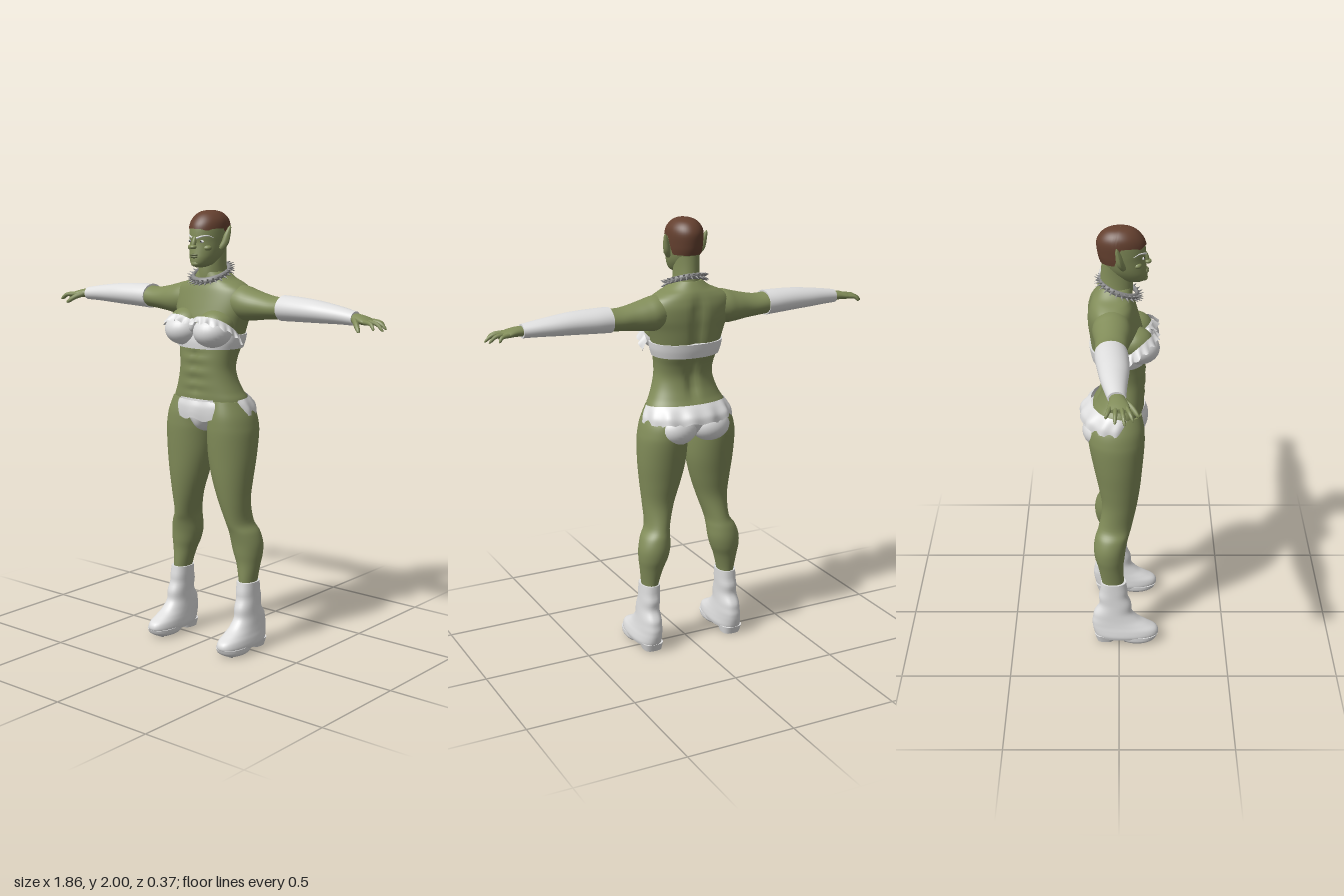
import * as THREE from 'three';
import { mergeGeometries } from 'three/addons/utils/BufferGeometryUtils.js';

const V = (x, y, z) => new THREE.Vector3(x, y, z);
const smooth = THREE.MathUtils.smoothstep;
const mat = (name, color, side = THREE.FrontSide) => {
  const m = new THREE.MeshStandardMaterial({ color, side });
  m.name = name;
  return m;
};

// Surface grid from a rule fn(u, v); closed wraps around in v.
function grid(nu, nv, fn, closed) {
  const pos = [], idx = [], cols = closed ? nv : nv + 1;
  for (let i = 0; i <= nu; i++) for (let j = 0; j < cols; j++) pos.push(...fn(i / nu, j / nv));
  for (let i = 0; i < nu; i++) for (let j = 0; j < nv; j++) {
    const a = i * cols + j, b = i * cols + (j + 1) % cols;
    idx.push(a, a + cols, b, b, a + cols, b + cols);
  }
  const g = new THREE.BufferGeometry();
  g.setAttribute('position', new THREE.Float32BufferAttribute(pos, 3));
  g.setIndex(idx);
  g.computeVertexNormals();
  return g;
}

// Smooth surface through cross-sections [y, xMin, xMax, zMin, zMax].
const surface = (rows, e = 1) => (t, a) => {
  const i = Math.min(Math.floor(t), rows.length - 2), f = t - i;
  const r = k => rows[Math.max(0, Math.min(rows.length - 1, k))];
  const [y, x0, x1, z0, z1] = rows[0].map((_, k) => {
    const [p, q, s, w] = [r(i - 1)[k], r(i)[k], r(i + 1)[k], r(i + 2)[k]];
    return q + 0.5 * f * (s - p + f * (2 * p - 5 * q + 4 * s - w + f * (3 * (q - s) + w - p)));
  });
  const c = Math.cos(a), s = Math.sin(a);
  return [(x0 + x1) / 2 + (x1 - x0) / 2 * Math.sign(c) * Math.abs(c) ** e, y,
    (z0 + z1) / 2 + (z1 - z0) / 2 * Math.sign(s) * Math.abs(s) ** e];
};

// Loft along y, or along x when sideways (rows are then [x, zMin, zMax, yMin, yMax]).
function loft(rows, { seg = 36, sub = 5, e = 1, warp = p => p, sideways = false, caps = true } = {}) {
  const s = surface(rows, e), n = rows.length - 1;
  const f = (u, v) => {
    const p = warp(s(u * n, v * Math.PI * 2), u, v * Math.PI * 2);
    return sideways ? [p[1], p[2], p[0]] : p;
  };
  const mid = u => f(u, 0).map((q, k) => (q + f(u, 0.5)[k]) / 2);
  const parts = [grid(n * sub, seg, f, true)];
  if (caps) parts.push(grid(1, seg, (u, v) => u ? f(0, v) : mid(0), true), grid(1, seg, (u, v) => u ? mid(1) : f(1, v), true));
  return mergeGeometries(parts);
}

const ball = (x, y, z, sx, sy, sz) => new THREE.SphereGeometry(1, 28, 20).scale(sx, sy, sz).translate(x, y, z);

// Tube whose radius follows size(u).
function taper(points, radius, size) {
  const curve = new THREE.CatmullRomCurve3(points), n = 14, rad = 10;
  const g = new THREE.TubeGeometry(curve, n, radius, rad), p = g.attributes.position;
  for (let i = 0; i < p.count; i++) {
    const u = Math.floor(i / (rad + 1)) / n;
    const v = V().fromBufferAttribute(p, i).lerp(curve.getPointAt(u), 1 - size(u));
    p.setXYZ(i, v.x, v.y, v.z);
  }
  g.computeVertexNormals();
  return g;
}

function mirror(g) {
  const m = g.clone().scale(-1, 1, 1), a = m.index.array;
  for (let i = 0; i < a.length; i += 3) [a[i], a[i + 1]] = [a[i + 1], a[i]];
  m.computeVertexNormals();
  return m;
}

export function createModel() {
  const root = new THREE.Group();
  const skin = mat('green skin', 0x818c59), white = mat('white cloth', 0xdedede);
  const frill = mat('white frill', 0xdedede, THREE.DoubleSide), hairMat = mat('brown hair', 0x64402f);
  const steel = mat('grey steel', 0x8c8c8c), dark = mat('dark pupil', 0x2b2a24), lip = mat('lip', 0x68704a);
  const add = (name, geo, m) => {
    const mesh = new THREE.Mesh(geo, m);
    mesh.name = name;
    root.add(mesh);
  };
  const pair = (name, geo, m) => { add('left ' + name, geo, m); add('right ' + name, mirror(geo), m); };
  const sym = (y, x, z0, z1) => [y, -x, x, z0, z1];

  // Torso with spine groove and abdominal relief
  const bell = (x, w) => Math.exp(-((x / w) ** 2));
  add('torso', loft([
    sym(1.1, .19, -.13, .105), sym(1.16, .188, -.12, .112), sym(1.2, .168, -.1, .115), sym(1.25, .148, -.082, .118),
    sym(1.3, .137, -.076, .12), sym(1.35, .14, -.088, .12), sym(1.4, .15, -.11, .116), sym(1.46, .163, -.124, .11),
    sym(1.52, .18, -.132, .105), sym(1.57, .197, -.138, .092), sym(1.62, .2, -.138, .078), sym(1.655, .185, -.13, .068),
    sym(1.68, .145, -.12, .06), sym(1.7, .1, -.108, .058), sym(1.73, .062, -.088, .056)], {
    seg: 64, e: .9, warp: ([x, y, z]) => {
      if (z < 0) z += .018 * bell(x, .025) * smooth(y, 1.16, 1.25) * (1 - smooth(y, 1.6, 1.7));
      else {
        const w = smooth(y, 1.17, 1.22) * (1 - smooth(y, 1.36, 1.4));
        z -= w * (.006 * bell(x, .012) + .003 * bell(x, .06) * (1 + Math.cos(y * 105)));
      }
      return [x, y, z];
    } }), skin);
  add('neck', loft([sym(1.67, .075, -.1, .055), sym(1.72, .06, -.086, .06), sym(1.78, .055, -.08, .055),
    sym(1.84, .055, -.075, .03)]), skin);
  pair('upper breast', ball(.085, 1.5, .065, .082, .068, .085), skin);

  // Head and cropped hair
  const headRows = [sym(1.752, .018, .04, .1), sym(1.765, .042, -.01, .119), sym(1.79, .058, -.04, .122), sym(1.82, .068, -.065, .118),
    sym(1.86, .0735, -.083, .113), sym(1.89, .0755, -.09, .115), sym(1.93, .076, -.094, .11), sym(1.958, .069, -.083, .094),
    sym(1.98, .05, -.06, .07), sym(1.991, .027, -.028, .042), sym(1.994, .001, .006, .008)];
  add('head', loft(headRows), skin);
  const head = surface(headRows);
  add('hair', grid(24, 48, (u, v) => {
    const a = v * Math.PI * 2, s = Math.sin(a);
    const t0 = 5.75 - .2 * bell(s - .75, .12) - 2.1 * smooth(-s, .02, .4);
    const p = head(t0 + (10 - t0) * u, a);
    return [p[0] * 1.045, 1.9 + (p[1] - 1.9) * 1.055, .006 + (p[2] - .006) * 1.04];
  }, true), hairMat);
  pair('ear', taper([V(.07, 1.832, .02), V(.084, 1.86, .006), V(.092, 1.895, -.002), V(.102, 1.937, -.012)], .019,
    u => Math.sqrt(Math.sin(Math.PI * Math.min(1, .12 + u * .88))) * (1 - .35 * u)), skin);

  // Face
  add('nose bridge', ball(0, 0, 0, .01, .03, .011).rotateX(-.3).translate(0, 1.862, .117), skin);
  add('nose tip', ball(0, 1.843, .124, .017, .01, .016), skin);
  pair('cheekbone', ball(.042, 1.838, .078, .022, .014, .02), skin);
  pair('eye', ball(.032, 1.867, .103, .014, .006, .005), white);
  pair('pupil', ball(.032, 1.867, .106, .005, .005, .004), dark);
  pair('eyebrow', taper([V(.012, 1.881, .114), V(.036, 1.89, .103), V(.054, 1.892, .084), V(.067, 1.882, .062)], .0048,
    u => 1 - .7 * u), white);
  add('upper lip', ball(0, 1.808, .118, .023, .005, .01), lip);
  add('lower lip', ball(0, 1.799, .118, .02, .006, .011), lip);
  add('chin', ball(0, 1.769, .106, .023, .014, .018), skin);

  // Spiked collar, lower at the front
  const ringY = z => 1.722 - z * .38;
  const ring = new THREE.TorusGeometry(.08, .009, 10, 48).rotateX(Math.PI / 2), rp = ring.attributes.position;
  for (let i = 0; i < rp.count; i++) rp.setY(i, rp.getY(i) * 1.5 + ringY(rp.getZ(i)));
  ring.computeVertexNormals();
  add('collar', ring, steel);
  const spikes = [];
  for (let row = 0; row < 2; row++) for (let i = 0; i < 24; i++) {
    const a = (i + row / 2) / 24 * Math.PI * 2, z = Math.sin(a) * .095;
    const dir = V(Math.cos(a), row ? -.35 : .3, Math.sin(a)).normalize();
    const g = new THREE.ConeGeometry(.0065, .03, 8).applyQuaternion(new THREE.Quaternion().setFromUnitVectors(V(0, 1, 0), dir));
    spikes.push(g.translate(Math.cos(a) * .095, ringY(z) + (row ? -.01 : .008), z));
  }
  add('collar spikes', mergeGeometries(spikes), steel);

  // Arms, long sleeves and hands
  pair('upper arm', loft([[.1, -.1, .045, 1.535, 1.675], [.17, -.115, .052, 1.52, 1.673], [.22, -.111, .05, 1.522, 1.66],
    [.28, -.102, .04, 1.53, 1.645], [.34, -.1, .035, 1.536, 1.635], [.4, -.096, .031, 1.54, 1.638]], { sideways: true }), skin);
  pair('sleeve', loft([[.385, -.101, .036, 1.533, 1.645], [.45, -.099, .041, 1.536, 1.644], [.55, -.087, .043, 1.54, 1.639],
    [.63, -.076, .037, 1.543, 1.63], [.7, -.062, .032, 1.546, 1.62], [.775, -.045, .028, 1.547, 1.607]], { sideways: true }), white);
  pair('palm', loft([[.76, -.038, .022, 1.553, 1.6], [.8, -.04, .032, 1.556, 1.597], [.835, -.045, .042, 1.555, 1.588],
    [.862, -.04, .038, 1.558, 1.577]], { sideways: true }), skin);
  const finger = u => (1 - .35 * u) * Math.sqrt(Math.max(0, 1 - u ** 8));
  [['index finger', .03, .908, 1.543, .056], ['middle finger', .01, .932, 1.538, .022],
    ['ring finger', -.013, .924, 1.541, -.016], ['little finger', -.034, .89, 1.548, -.054]].forEach(([name, z, tx, ty, tz]) =>
    pair(name, taper([V(.84, 1.571, z), V((.86 + tx) / 2, 1.566, (z + tz) / 2), V(tx, ty, tz)], .0105, finger), skin));
  pair('thumb', taper([V(.79, 1.575, .02), V(.818, 1.56, .05), V(.85, 1.532, .078)], .014, finger), skin);

  // Top: cups, band and wavy frills
  pair('cup', ball(.083, 1.472, .088, .086, .071, .09), white);
  add('band', loft([sym(1.393, .155, -.119, .122), sym(1.425, .165, -.127, .124), sym(1.457, .17, -.132, .12)], { e: .9, seg: 48 }), white);
  add('centre knot', ball(0, 1.5, .13, .016, .03, .018), white);
  const edge = new THREE.CatmullRomCurve3([V(.004, 1.525, .135), V(.045, 1.542, .15), V(.095, 1.545, .15), V(.145, 1.53, .115),
    V(.172, 1.5, .07), V(.178, 1.46, .02)]);
  pair('top frill', grid(70, 4, (u, v) => {
    const p = edge.getPointAt(u), out = V(p.x, 0, p.z).normalize();
    const k = v * (.024 + .007 * Math.sin(u * 44));
    return [p.x + out.x * k, p.y - v * (.022 + .02 * u) + .006 * v * Math.cos(u * 36), p.z + out.z * k];
  }), frill);

  // Briefs and frilled waist
  add('briefs', loft([sym(1.01, .02, -.06, .055), sym(1.03, .045, -.1, .095), sym(1.07, .085, -.135, .117),
    sym(1.12, .15, -.145, .121), sym(1.165, .185, -.12, .117)]), white);
  pair('briefs seat', ball(.083, 1.068, -.088, .092, .073, .077), white);
  add('waist frill', loft([sym(1.085, .212, -.178, .125), sym(1.115, .21, -.172, .128), sym(1.145, .2, -.15, .127),
    sym(1.168, .188, -.128, .119)], { seg: 120, caps: false, warp: ([x, y, z], u, a) => {
    const w = (1 - u) * (Math.sin(a * 13) + .6 * Math.sin(a * 8 + 1));
    const k = 1 + .025 * w;
    return [x * k, y - .1 * z + .006 * w + .03 * x * x, z * k];
  } }), frill);

  // Legs
  pair('leg', loft([[.28, .165, .232, -.075, .02], [.33, .158, .237, -.082, .022], [.4, .138, .247, -.097, .02],
    [.45, .118, .254, -.112, .026], [.5, .106, .253, -.117, .032], [.55, .103, .238, -.11, .043], [.6, .098, .21, -.094, .058],
    [.7, .066, .212, -.078, .08], [.8, .034, .223, -.094, .096], [.9, .012, .233, -.115, .106], [1, .007, .235, -.134, .114],
    [1.05, .012, .229, -.138, .115], [1.1, .022, .215, -.13, .112], [1.16, .04, .185, -.1, .1]], { seg: 44 }), skin);

  // Boots with heel, sole and treads
  pair('boot', loft([[.028, .15, .27, -.108, .172], [.045, .146, .274, -.116, .186], [.07, .148, .27, -.123, .178],
    [.092, .151, .264, -.126, .14], [.118, .154, .259, -.126, .095], [.15, .157, .255, -.117, .068], [.2, .159, .25, -.097, .053],
    [.26, .157, .246, -.091, .041], [.32, .155, .243, -.086, .032]], { e: .85,
    warp: ([x, y, z]) => [x, y, z + .004 * Math.sin(y * 70) * smooth(y, .1, .16) * (1 - smooth(y, .24, .3))] }), white);
  pair('boot heel', loft([[.004, .165, .25, -.105, -.022], [.04, .158, .26, -.116, -.005]], { e: .7 }), white);
  pair('boot sole', loft([[.008, .158, .265, .015, .155], [.02, .149, .272, .0, .174], [.04, .147, .273, -.01, .184]], { e: .85 }), white);
  const treads = [];
  for (let i = 0; i < 6; i++) treads.push(new THREE.BoxGeometry(.075 - .006 * Math.abs(i - 2), .008, .01).translate(.211, .004, .03 + i * .021));
  pair('boot treads', mergeGeometries(treads), steel);
  return root;
}
